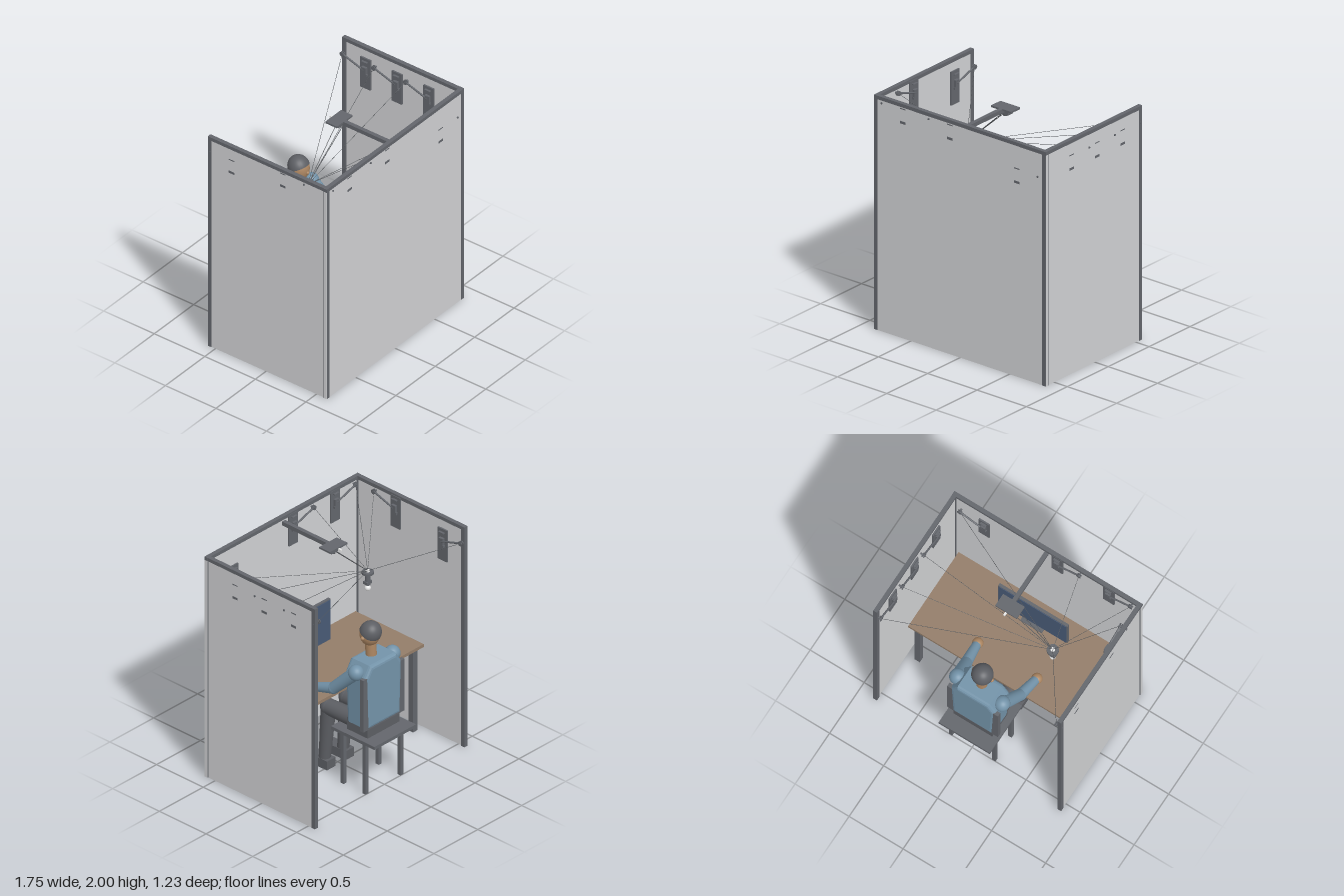
import * as THREE from 'three';

const paint = (name, color) => {
  const m = new THREE.MeshStandardMaterial({ color });
  m.name = name;
  return m;
};

export function createModel() {
  const root = new THREE.Group();
  root.name = 'cableRigBooth';
  const panelMat = paint('wallPanelGrey', 0xd0d1d3);
  const frameMat = paint('frameGrey', 0x63666c);
  const woodMat = paint('deskWood', 0x937d69);
  const shirtMat = paint('shirtBlue', 0x7393a9);
  const skinMat = paint('skin', 0xab8561);
  const darkMat = paint('trousersGrey', 0x5d5f64);
  const screenMat = paint('screenBlue', 0x485a76);
  const whiteMat = paint('white', 0xeeeeee);
  const cableMat = paint('cableGrey', 0x55585c);

  // Helpers
  const add = (name, geo, mat, x = 0, y = 0, z = 0, parent = root) => {
    const m = new THREE.Mesh(geo, mat);
    m.name = name;
    m.position.set(x, y, z);
    parent.add(m);
    return m;
  };
  // Box given by its limits on each axis
  const span = (name, mat, x0, x1, y0, y1, z0, z1, parent = root) =>
    add(name, new THREE.BoxGeometry(x1 - x0, y1 - y0, z1 - z0), mat,
      (x0 + x1) / 2, (y0 + y1) / 2, (z0 + z1) / 2, parent);
  // Tapered rod between two points
  const rod = (name, mat, a, b, r0, r1 = r0, sides = 20, parent = root) => {
    const p = new THREE.Vector3(...a), q = new THREE.Vector3(...b);
    const d = q.clone().sub(p);
    const m = add(name, new THREE.CylinderGeometry(r1, r0, d.length(), sides), mat, 0, 0, 0, parent);
    m.position.copy(p).add(q).multiplyScalar(0.5);
    m.quaternion.setFromUnitVectors(new THREE.Vector3(0, 1, 0), d.normalize());
    return m;
  };
  const ball = (name, mat, x, y, z, r, parent = root) =>
    add(name, new THREE.SphereGeometry(r, 24, 16), mat, x, y, z, parent);

  // Booth walls and frame, open at the back
  span('frontPanel', panelMat, -0.84, 0.84, 0, 1.975, 0.582, 0.604);
  span('frontRail', frameMat, -0.872, 0.872, 1.97, 2, 0.572, 0.607);
  for (const s of [-1, 1]) {
    const side = (name, mat, a, b, ...rest) =>
      span(name, mat, Math.min(s * a, s * b), Math.max(s * a, s * b), ...rest);
    side('sidePanel', panelMat, 0.843, 0.865, 0, 1.975, -0.55, 0.575);
    side('sideRail', frameMat, 0.835, 0.87, 1.97, 2, -0.572, 0.575);
    side('backPost', frameMat, 0.835, 0.87, 0, 1.985, -0.572, -0.537);
    side('frontPost', frameMat, 0.835, 0.87, 0, 1.985, 0.572, 0.607);
    side('postCover', panelMat, 0.87, 0.872, 0, 1.97, 0.579, 0.606);
  }

  // Desk
  span('deskTop', woodMat, -0.81, 0.81, 0.755, 0.782, -0.16, 0.57);
  for (const x of [-0.75, 0.75])
    for (const z of [-0.1, 0.51]) span('deskLeg', frameMat, x - 0.025, x + 0.025, 0, 0.755, z - 0.025, z + 0.025);

  // Monitor
  span('monitorBody', frameMat, -0.32, 0.32, 0.82, 1.19, 0.377, 0.402);
  span('monitorScreen', screenMat, -0.312, 0.312, 0.828, 1.182, 0.372, 0.378);
  span('monitorNeck', frameMat, -0.025, 0.025, 0.78, 0.95, 0.4, 0.42);
  span('monitorFoot', frameMat, -0.1, 0.1, 0.78, 0.79, 0.35, 0.45);

  // Chair
  const chair = new THREE.Group();
  chair.name = 'chair';
  root.add(chair);
  span('seat', frameMat, -0.237, 0.237, 0.462, 0.49, -0.615, -0.15, chair);
  span('backrest', frameMat, -0.235, 0.235, 0.57, 1.04, -0.495, -0.46, chair);
  for (const x of [-0.2, 0.2])
    for (const z of [-0.485, -0.25]) span('chairLeg', frameMat, x - 0.016, x + 0.016, 0, 0.465, z - 0.016, z + 0.016, chair);

  // Seated person
  const person = new THREE.Group();
  person.name = 'person';
  root.add(person);
  const chest = new THREE.Shape([[-0.16, 0.6], [0.16, 0.6], [0.175, 1.03], [0.13, 1.1], [-0.13, 1.1], [-0.175, 1.03]]
    .map(([x, y]) => new THREE.Vector2(x, y)));
  add('torso', new THREE.ExtrudeGeometry(chest, {
    depth: 0.17, bevelEnabled: true, bevelSize: 0.03, bevelThickness: 0.03, bevelSegments: 3,
  }), shirtMat, 0, 0, -0.47, person);
  span('pelvis', darkMat, -0.18, 0.18, 0.49, 0.6, -0.49, -0.27, person);
  rod('neck', skinMat, [0, 1.1, -0.36], [0, 1.26, -0.35], 0.045, 0.045, 20, person);
  ball('head', skinMat, 0, 1.31, -0.345, 0.083, person).scale.y = 1.2;
  ball('nose', skinMat, 0, 1.3, -0.262, 0.014, person);
  const hair = add('hair', new THREE.SphereGeometry(0.089, 28, 14, 0, Math.PI * 2, 0, 1.6), darkMat, 0, 1.325, -0.35, person);
  hair.material = darkMat;
  hair.scale.y = 1.1;
  hair.rotation.x = -0.45;
  add('hairUnderside', new THREE.CircleGeometry(0.088, 28).rotateX(Math.PI / 2), darkMat, 0, 0, 0, hair);
  for (const s of [-1, 1]) {
    ball('ear', skinMat, s * 0.083, 1.3, -0.345, 0.017, person);
    ball('shoulder', shirtMat, s * 0.207, 1.06, -0.39, 0.065, person);
    rod('upperArm', shirtMat, [s * 0.207, 1.06, -0.39], [s * 0.25, 0.86, -0.19], 0.056, 0.048, 20, person);
    ball('elbow', shirtMat, s * 0.25, 0.86, -0.19, 0.049, person);
    rod('forearm', shirtMat, [s * 0.25, 0.86, -0.19], [s * 0.273, 0.805, 0], 0.047, 0.036, 20, person);
    ball('hand', skinMat, s * 0.274, 0.798, 0.01, 0.045, person);
    rod('thigh', darkMat, [s * 0.105, 0.56, -0.36], [s * 0.105, 0.55, 0], 0.075, 0.066, 20, person);
    ball('knee', darkMat, s * 0.105, 0.55, 0, 0.067, person);
    rod('shin', darkMat, [s * 0.105, 0.55, 0], [s * 0.105, 0.07, 0.04], 0.062, 0.048, 20, person);
    span('shoe', darkMat, s * 0.105 - 0.05, s * 0.105 + 0.05, 0, 0.08, -0.03, 0.2, person);
  }

  // Overhead arm with sensor plate
  span('overheadArm', frameMat, -0.017, 0.017, 1.92, 1.955, 0.05, 0.58);
  span('sensorPlate', frameMat, -0.1, 0.1, 1.94, 1.955, -0.01, 0.105);
  span('sensorBody', frameMat, -0.05, 0.05, 1.9, 1.94, 0.02, 0.08);
  rod('sensorLens', cableMat, [0, 1.9, 0.05], [0, 1.88, 0.05], 0.02);
  span('marker', whiteMat, -0.008, 0.008, 1.93, 1.946, -0.038, -0.01);

  // Suspended tool held by the cables
  const hub = [-0.395, 1.545, 0.05];
  rod('toolDisc', frameMat, [-0.395, 1.52, 0.05], [-0.395, 1.54, 0.05], 0.048);
  rod('toolBody', frameMat, [-0.395, 1.42, 0.05], [-0.395, 1.52, 0.05], 0.022);
  span('toolClamp', frameMat, -0.425, -0.365, 1.43, 1.455, 0.03, 0.07);
  rod('toolCap', whiteMat, [-0.395, 1.54, 0.05], [-0.395, 1.55, 0.05], 0.018);
  ball('toolTip', whiteMat, -0.395, 1.39, 0.05, 0.025);
  for (const z of [0.03, 0.09]) rod('sensorLead', cableMat, [0, 1.91, z], hub, 0.003, 0.003, 6);

  // Winch units: x, z, turn, lower bolt height, arm direction
  const units = [
    [-0.58, 0.575, Math.PI, 1.84, 1], [-0.103, 0.575, Math.PI, 1.84, 1], [0.575, 0.575, Math.PI, 1.66, -1],
    [0.835, 0.285, -Math.PI / 2, 1.75, -1], [0.835, -0.028, -Math.PI / 2, 1.75, -1], [0.835, -0.34, -Math.PI / 2, 1.75, -1],
    [-0.835, 0.165, Math.PI / 2, 1.84, -1], [-0.835, -0.34, Math.PI / 2, 1.75, 1],
  ];
  for (const [x, z, turn, y, dir] of units) {
    const unit = new THREE.Group();
    unit.name = 'winchUnit';
    unit.position.set(x, y, z);
    unit.rotation.y = turn;
    root.add(unit);
    span('mountPlate', frameMat, -0.05, 0.05, -0.14, 0.145, -0.009, 0.006, unit);
    span('lowerClamp', frameMat, -0.027, 0.027, -0.01, 0.01, -0.032, 0.025, unit);
    span('upperClamp', frameMat, -0.027, 0.027, 0.113, 0.121, -0.032, 0.025, unit);
    span('motor', frameMat, -0.022, 0.022, 0.01, 0.07, 0.005, 0.028, unit);
    const ax = dir * 0.213, ay = 0.108;
    rod('pulleyArm', frameMat, [0, 0.04, 0.022], [ax, ay, 0.022], 0.008, 0.008, 10, unit);
    rod('pulleyAxle', frameMat, [ax, ay, -0.038], [ax, ay, 0.035], 0.008, 0.008, 12, unit);
    for (const d of [0.014, 0.03])
      rod('pulleyWheel', frameMat, [ax, ay, d - 0.003], [ax, ay, d + 0.003], 0.02, 0.02, 16, unit);
    // Cable from pulley to tool
    unit.updateMatrix();
    const start = new THREE.Vector3(ax, ay, 0.022).applyMatrix4(unit.matrix);
    rod('cable', cableMat, start.toArray(), hub, 0.0018, 0.0018, 6);
  }
  return root;
}
